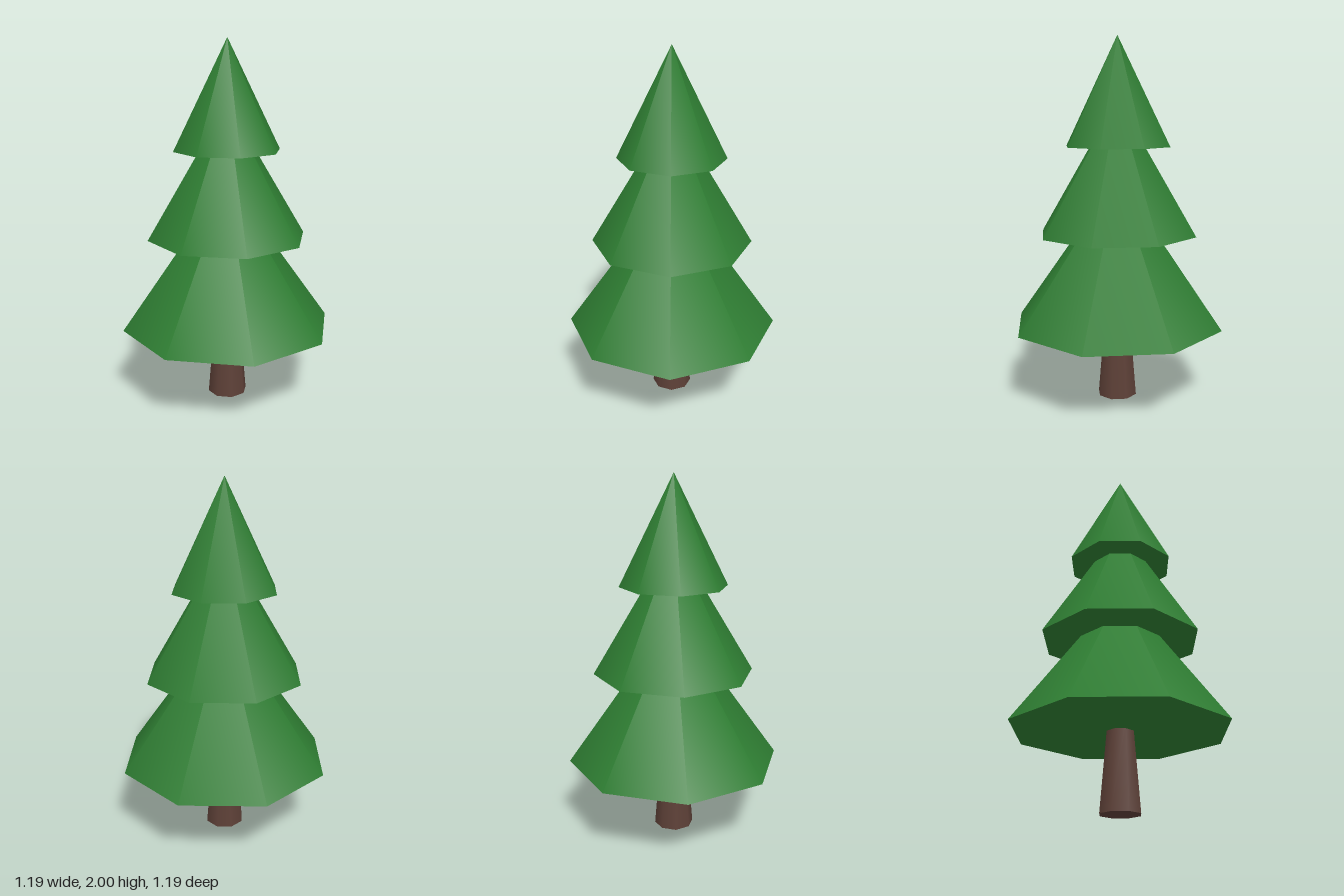
import * as THREE from 'three';

const SIDES = 8;

export function createModel() {
  const tree = new THREE.Group();
  tree.name = 'pineTree';
  const bark = new THREE.MeshStandardMaterial({ color: 0x5d4037 });
  const needles = new THREE.MeshStandardMaterial({ color: 0x2e7d32 });

  function add(name, geometry, material, baseY, height) {
    const mesh = new THREE.Mesh(geometry, material);
    mesh.name = name;
    mesh.position.y = baseY + height / 2;
    tree.add(mesh);
  }

  // Tapered trunk, its top tucked just inside the lowest tier
  add('trunk', new THREE.CylinderGeometry(0.074, 0.111, 0.44, SIDES), bark, 0, 0.44);

  // Three overlapping cones of foliage, smooth around the sides
  const tiers = [
    { name: 'lowerFoliage', radius: 0.593, base: 0.42, height: 0.83 },
    { name: 'middleFoliage', radius: 0.444, base: 0.93, height: 0.74 },
    { name: 'upperFoliage', radius: 0.296, base: 1.41, height: 0.59 },
  ];
  for (const { name, radius, base, height } of tiers) {
    add(name, new THREE.ConeGeometry(radius, height, SIDES), needles, base, height);
  }
  return tree;
}
